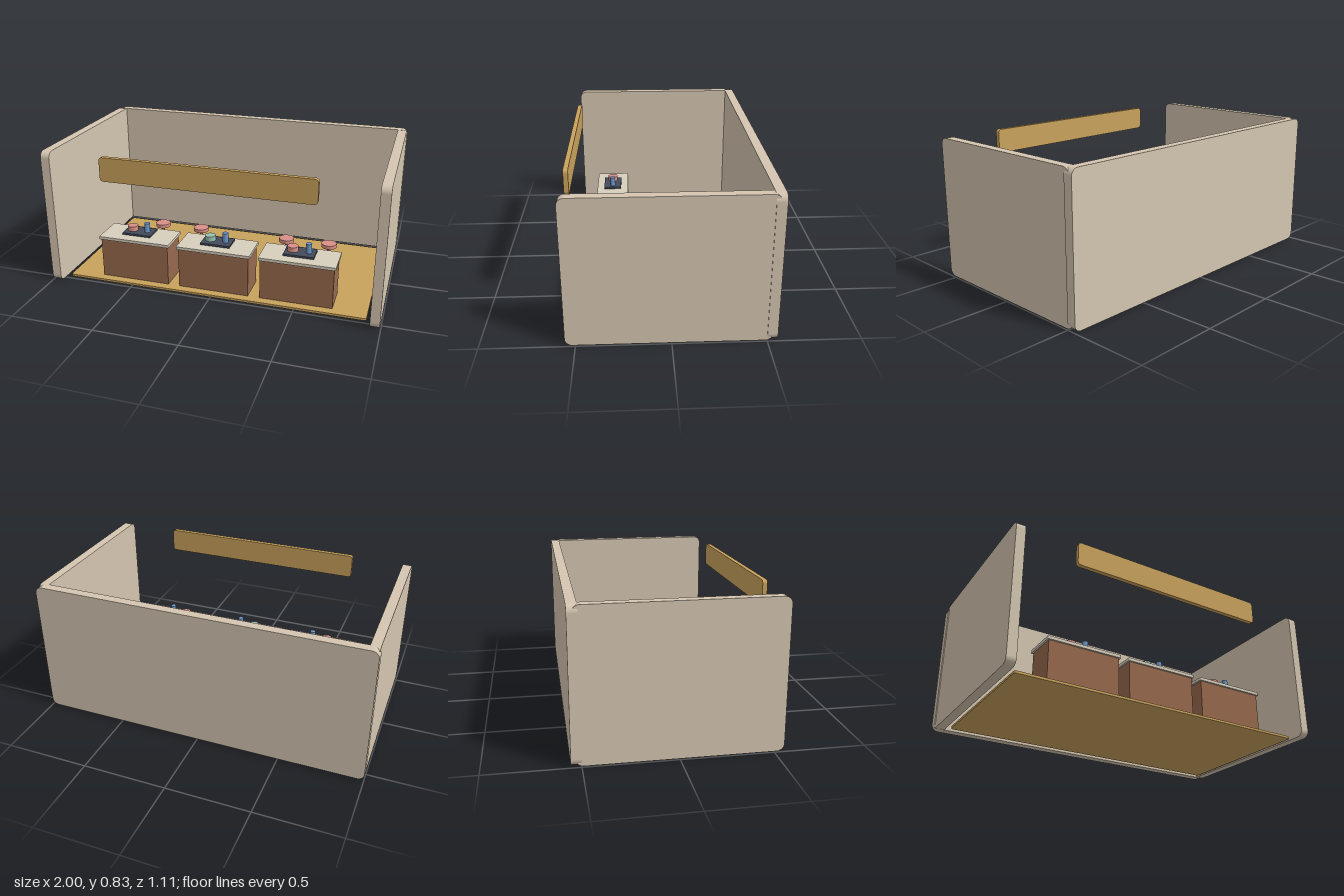
import * as THREE from 'three';

const mat = (color) => new THREE.MeshStandardMaterial({ color });

// Slab with rounded outline (w x h), extruded by d, centred on the origin
function slab(w, h, d, r) {
  const s = new THREE.Shape();
  const x = w / 2, y = h / 2;
  s.moveTo(-x + r, -y);
  s.lineTo(x - r, -y);
  s.absarc(x - r, -y + r, r, -Math.PI / 2, 0);
  s.lineTo(x, y - r);
  s.absarc(x - r, y - r, r, 0, Math.PI / 2);
  s.lineTo(-x + r, y);
  s.absarc(-x + r, y - r, r, Math.PI / 2, Math.PI);
  s.lineTo(-x, -y + r);
  s.absarc(-x + r, -y + r, r, Math.PI, Math.PI * 1.5);
  return new THREE.ExtrudeGeometry(s, { depth: d, bevelEnabled: false, curveSegments: 6 }).translate(0, 0, -d / 2);
}

export function createModel() {
  const root = new THREE.Group();
  root.name = 'foodCourt';
  const wall = mat(0xd4c5b0), wood = mat(0xc9a25c), brown = mat(0x96694d), stone = mat(0xd8cfbd);
  const dark = mat(0x434b5c), pink = mat(0xd98f88), green = mat(0x97c2ae), blue = mat(0x7099cc);

  const add = (parent, name, geometry, material, x, y, z) => {
    const m = new THREE.Mesh(geometry, material);
    m.name = name;
    m.position.set(x, y, z);
    parent.add(m);
    return m;
  };
  const disc = (r, h) => new THREE.CylinderGeometry(r, r, h, 32);

  // Floor panel
  add(root, 'floor', slab(1.83, 0.93, 0.014, 0.015).rotateX(-Math.PI / 2), wood, 0, 0.007, 0.01);

  // Back and side walls
  add(root, 'backWall', slab(2, 0.83, 0.055, 0.04), wall, 0, 0.418, -0.5275);
  for (const side of [-1, 1]) {
    add(root, side < 0 ? 'rightWall' : 'leftWall',
      slab(1.085, 0.83, 0.055, 0.04).rotateY(Math.PI / 2), wall, side * 0.9675, 0.418, 0.0125);
  }

  // Hanging sign board
  add(root, 'signBoard', slab(1.25, 0.143, 0.027, 0.02), wood, 0, 0.7615, 0.5385);

  // Serving counters, each with a tray, a dish and a cup
  [-0.5, 0, 0.5].forEach((x, i) => {
    const counter = new THREE.Group();
    counter.name = 'counter';
    counter.position.set(x, 0, 0.327);
    add(counter, 'counterBody', new THREE.BoxGeometry(0.43, 0.248, 0.19), brown, 0, 0.137, 0);
    add(counter, 'counterTop', slab(0.45, 0.212, 0.018, 0.006).rotateX(-Math.PI / 2), stone, 0, 0.27, 0);
    add(counter, 'tray', new THREE.BoxGeometry(0.18, 0.012, 0.115), dark, 0, 0.295, 0);
    add(counter, 'dish', disc(0.032, 0.03), i === 1 ? green : pink, -0.044, 0.318, 0);
    add(counter, 'cup', disc(0.017, 0.06), blue, 0.05, 0.329, 0);
    root.add(counter);
  });

  // Stools
  for (const x of [-0.585, -0.304, 0.298, 0.582]) {
    const stool = new THREE.Group();
    stool.name = 'stool';
    stool.position.set(x, 0, -0.24);
    add(stool, 'stoolSeat', disc(0.05, 0.024), pink, 0, 0.095, 0);
    add(stool, 'stoolPost', disc(0.01, 0.072), brown, 0, 0.049, 0);
    root.add(stool);
  }
  return root;
}
